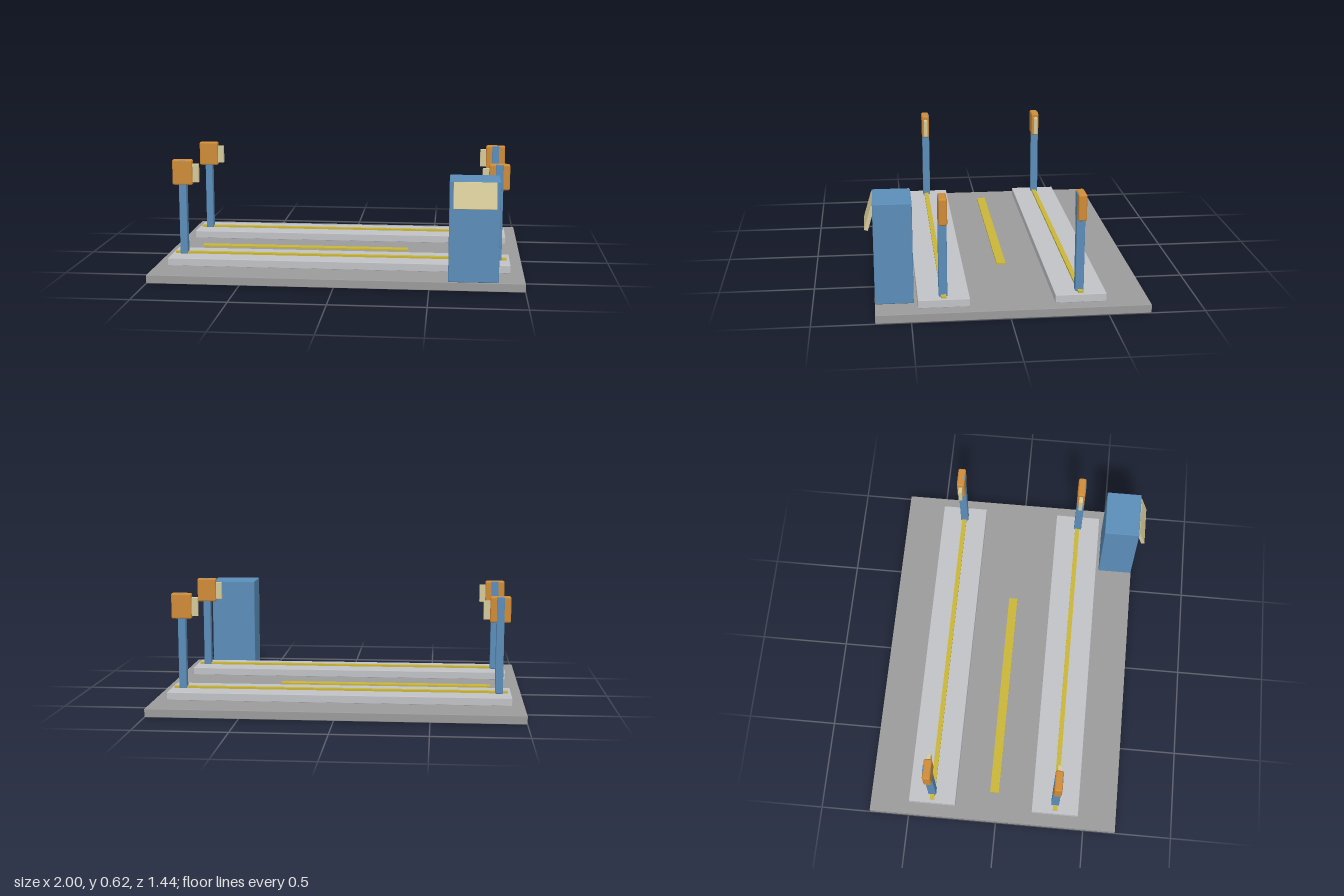
import * as THREE from 'three';
import { RoundedBoxGeometry } from 'three/addons/geometries/RoundedBoxGeometry.js';

const material = (name, color) => {
  const m = new THREE.MeshStandardMaterial({ color });
  m.name = name;
  return m;
};

export function createModel() {
  const model = new THREE.Group();
  const grey = material('floor grey', 0x9b9b9b);
  const pale = material('pale grey', 0xc0c2c6);
  const blue = material('steel blue', 0x5b8db8);
  const orange = material('orange', 0xcf8c38);
  const yellow = material('yellow', 0xc9b638);
  const beige = material('beige', 0xd6ca9a);

  // Box with an optional softened edge
  const box = (parent, name, mat, size, pos, radius = 0) => {
    const geo = radius
      ? new RoundedBoxGeometry(...size, 2, radius)
      : new THREE.BoxGeometry(...size);
    const mesh = new THREE.Mesh(geo, mat);
    mesh.name = name;
    mesh.position.set(...pos);
    parent.add(mesh);
    return mesh;
  };

  // Floor slab and the painted guide between the lanes
  box(model, 'floor', grey, [2, 0.046, 1.4], [0, 0.023, -0.02], 0.003);
  box(model, 'guideStrip', yellow, [1.2, 0.009, 0.05], [-0.237, 0.052, -0.02]);

  // Post with its head and inward reader panel, built for the -x end
  const makePost = () => {
    const post = new THREE.Group();
    post.name = 'post';
    box(post, 'column', blue, [0.042, 0.527, 0.044], [0, 0.3505, -0.002], 0.004);
    box(post, 'head', orange, [0.112, 0.141, 0.044], [0, 0.545, 0], 0.01);
    box(post, 'panel', beige, [0.045, 0.102, 0.022], [0.068, 0.541, 0], 0.002);
    return post;
  };

  // Two raised lanes, each with a rail and a post at either end
  for (const z of [0.332, -0.368]) {
    const lane = new THREE.Group();
    lane.name = 'lane';
    lane.position.set(-0.002, 0, z);
    box(lane, 'platform', pale, [1.864, 0.043, 0.264], [0, 0.0665, 0], 0.003);
    box(lane, 'rail', yellow, [1.83, 0.012, 0.026], [0, 0.093, 0]);
    for (const side of [-1, 1]) {
      const post = makePost();
      post.position.x = 0.866 * side;
      if (side > 0) post.rotation.y = Math.PI;
      lane.add(post);
    }
    model.add(lane);
  }

  // Cabinet with a tilted screen
  const cabinet = new THREE.Group();
  cabinet.name = 'cabinet';
  box(cabinet, 'cabinetBody', blue, [0.262, 0.534, 0.197], [0.73, 0.313, 0.5805], 0.005);
  const screen = box(cabinet, 'screen', beige, [0.222, 0.14, 0.02], [0.731, 0.506, 0.692], 0.002);
  screen.rotation.x = -0.29;
  model.add(cabinet);

  return model;
}
